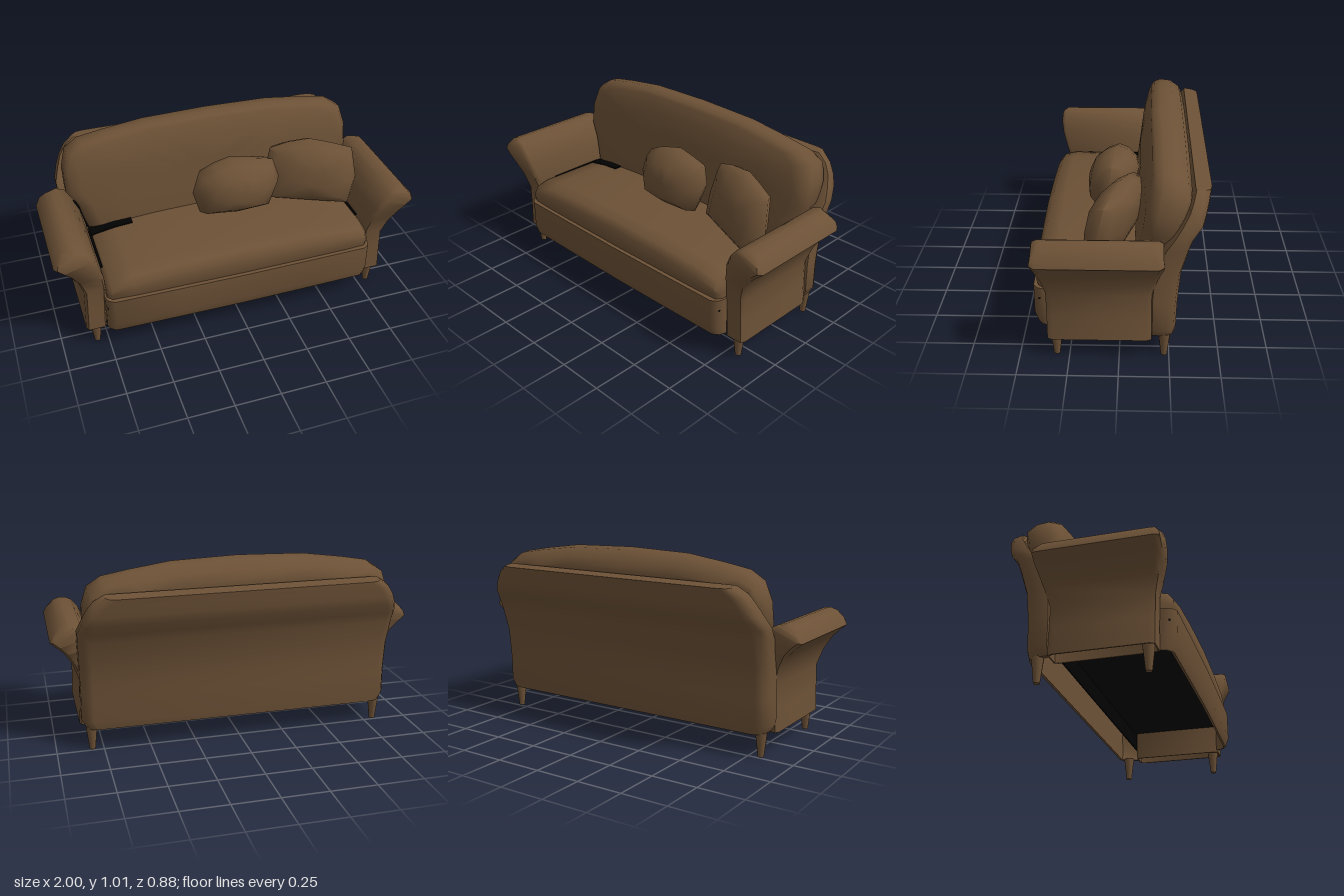
import * as THREE from 'three';
import { toCreasedNormals } from 'three/addons/utils/BufferGeometryUtils.js';

const lerp = THREE.MathUtils.lerp;
const ramp = (v, a, b) => THREE.MathUtils.clamp((v - a) / (b - a), 0, 1);

// Skin a closed solid over rings of [x, y, z]; a and b are the axes the end caps are flat in
function loft(rings, a, b, crease = 0.85) {
  const n = rings[0].length, idx = [];
  for (let r = 0; r < rings.length - 1; r++) {
    for (let i = 0; i < n; i++) {
      const p = r * n + i, q = r * n + (i + 1) % n;
      idx.push(p, q, q + n, p, q + n, p + n);
    }
  }
  [0, rings.length - 1].forEach((r, end) => {
    const flat = rings[r].map(p => new THREE.Vector2(p[a], p[b]));
    const sign = Math.sign(THREE.ShapeUtils.area(flat)) * (end ? 1 : -1);
    for (const [i, j, k] of THREE.ShapeUtils.triangulateShape(flat, [])) {
      const turn = THREE.ShapeUtils.area([flat[i], flat[j], flat[k]]);
      const t = turn * sign > 0 ? [i, j, k] : [i, k, j];
      idx.push(...t.map(v => v + r * n));
    }
  });
  // Turn the faces outward
  const pts = rings.flat().map(p => new THREE.Vector3(...p));
  let volume = 0;
  for (let i = 0; i < idx.length; i += 3) {
    volume += pts[idx[i]].dot(pts[idx[i + 1]].clone().cross(pts[idx[i + 2]]));
  }
  if (volume < 0) idx.reverse();
  const g = new THREE.BufferGeometry().setFromPoints(pts);
  g.setIndex(idx);
  return toCreasedNormals(g, crease);
}

export function createModel() {
  const sofa = new THREE.Group();
  sofa.name = 'sofa';
  const brown = new THREE.MeshStandardMaterial({ color: 0x6c5136 });
  brown.name = 'brown upholstery';
  const black = new THREE.MeshStandardMaterial({ color: 0x020202 });
  black.name = 'black lining';
  const add = (name, geometry, material = brown, x = 0, y = 0, z = 0) => {
    const m = new THREE.Mesh(geometry, material);
    m.name = name;
    m.position.set(x, y, z);
    sofa.add(m);
  };

  // Front base panel, a thin shell with softened ends
  const baseStations = [[-0.755, 0.06], [-0.745, 0.03], [-0.715, 0.008], [-0.35, 0.003], [0, 0], [0.35, 0.003], [0.715, 0.008], [0.745, 0.03], [0.755, 0.06]];
  add('frontBase', loft(baseStations.map(([x, d]) =>
    [[0.408, 0.125], [0.42, 0.125], [0.44, 0.18], [0.44, 0.34], [0.34, 0.34], [0.34, 0.31], [0.41, 0.29]]
      .map(([z, y]) => [x, y, z - d])), 2, 1));

  // Seat cushion, crowned across its width
  const seatStations = [[0.745, 0.42, 0.04], [0.72, 0.45, 0.012], [0.6, 0.472, 0.006], [0.36, 0.49, 0.003], [0, 0.5, 0]];
  const seatAll = [...seatStations.map(([x, t, d]) => [-x, t, d]), ...seatStations.slice(0, -1).reverse()];
  add('seatCushion', loft(seatAll.map(([x, top, d]) =>
    [[-0.12, 0.33], [0.415, 0.33], [0.427, 0.37], [0.427, top - 0.05], [0.4, top - 0.015], [0.33, top], [-0.12, top - 0.005]]
      .map(([z, y]) => [x, y, z - (z > 0 ? d : 0)])), 2, 1, 1.05));

  // Back frame, raked rearward, rounded at the upper corners and hollow low down:
  // front y, z, rear y, z, half width, hollow depth
  const frameRows = [
    [0.125, -0.157, 0.125, -0.278, 0.835, 0.88], [0.17, -0.157, 0.17, -0.281, 0.86, 0.88], [0.34, -0.157, 0.3, -0.285, 0.858, 0.88],
    [0.4, -0.16, 0.39, -0.292, 0.859, 0], [0.48, -0.175, 0.48, -0.3, 0.86, 0], [0.62, -0.215, 0.62, -0.34, 0.865, 0],
    [0.68, -0.255, 0.67, -0.357, 0.867, 0], [0.74, -0.295, 0.73, -0.402, 0.845, 0], [0.8, -0.328, 0.78, -0.416, 0.82, 0],
    [0.85, -0.347, 0.83, -0.428, 0.785, 0], [0.885, -0.36, 0.875, -0.44, 0.73, 0]];
  add('backFrame', loft(frameRows.map(([fy, fz, ry, rz, w, hollow]) => {
    const side = [[0.05, hollow], [0.015, 0], [0, 0.05], [0, 0.6], [0.022, 0.9], [0.06, 1]];
    return [...side.map(([inset, t]) => [-1, inset, t]), ...side.map(([inset, t]) => [1, inset, t]).reverse()]
      .map(([s, inset, t]) => [s * (w - inset), lerp(fy, ry, t), lerp(fz, rz, t)]);
  }), 0, 2));

  // Back cushion with an arched top and a bowed face
  const half = [[0.36, 1], [0.58, 0.97], [0.725, 0.945], [0.8, 0.895], [0.83, 0.79], [0.83, 0.67], [0.775, 0.58], [0.72, 0.4]];
  const outline = [[0, 1.01], ...half, ...half.map(([x, y]) => [-x, y]).reverse()];
  const cushionRings = [[0.3, 0.3, 0], [0.65, 0.65, 0], [0.9, 0.92, 0], [0.975, 0.97, 0.06], [1, 1, 0.26],
    [1, 0.97, 0.6], [0.985, 0.83, 0.9], [0.95, 0.68, 1]];
  add('backCushion', loft(cushionRings.map(([sx, sy, t]) => outline.map(([ox, oy]) => {
    const x = ox * sx, y = 0.7 + (oy - 0.7) * sy;
    const front = -0.055 - 0.045 * ramp(y, 0.45, 0.83) - 0.05 * ramp(y, 0.83, 0.98) - 0.035 * (x / 0.8) ** 2;
    const rear = lerp(-0.2, -0.345, ramp(y, 0.45, 0.85));
    return [x, y, lerp(front, rear, t)];
  })), 0, 1, 1));

  // Rolled arms, open underneath, flaring outward and lengthening toward the top:
  // inner x, y, outer x, y, front z, back z
  const armRows = [
    [0.762, 0.3, 0.853, 0.3, 0.349, -0.153], [0.762, 0.115, 0.859, 0.115, 0.349, -0.153],
    [0.755, 0.115, 0.866, 0.115, 0.356, -0.16], [0.75, 0.25, 0.86, 0.25, 0.356, -0.16],
    [0.742, 0.4, 0.856, 0.37, 0.358, -0.162], [0.75, 0.47, 0.885, 0.46, 0.38, -0.183],
    [0.772, 0.56, 0.925, 0.53, 0.405, -0.205], [0.8, 0.62, 0.965, 0.57, 0.414, -0.214],
    [0.835, 0.665, 0.998, 0.598, 0.414, -0.215], [0.865, 0.68, 0.985, 0.628, 0.408, -0.21],
    [0.9, 0.688, 0.945, 0.674, 0.38, -0.18]];
  for (const side of [1, -1]) {
    const sideName = side > 0 ? 'left' : 'right';
    add(sideName + 'Arm', loft(armRows.map(([ix, iy, ox, oy, f, b]) => [
      [0.1, f], [0.9, f], [1, f - 0.025], [1, b + 0.025], [0.9, b], [0.1, b], [0, b + 0.02], [0, f - 0.02]]
      .map(([t, z]) => [side * lerp(ix, ox, t), lerp(iy, oy, t), z])), 0, 2, 1));

    // Dark gap between arm and back cushion
    const gap = [[0.71, 0.43], [0.735, 0.53], [0.765, 0.6], [0.8, 0.625], [0.775, 0.53], [0.75, 0.43]];
    add(sideName + 'GapLining', loft([-0.14, -0.133].map(z => gap.map(([x, y]) => [side * x, y, z])), 0, 1), black);

    // Dark seams along the rear corner and the edge of the seat
    const end = side > 0 ? 0.64 : 0.5;
    const seam = [[0.738, 0.437], [0.72, 0.452], [0.6, 0.474], [0.5, 0.483]].filter(([x]) => x >= end);
    add(sideName + 'SeamLining', loft([-0.12, -0.03].map(z => [
      ...seam.map(([x, y]) => [side * x, y, z]),
      ...seam.map(([x, y]) => [side * x, y - 0.007, z]).reverse()]), 0, 1), black);
    add(sideName + 'EdgeLining', new THREE.BoxGeometry(0.012, 0.008, 0.33), black, side * 0.738, 0.436, 0.08);

    // Tapered legs
    for (const [name, z] of [['FrontLeg', 0.315], ['BackLeg', -0.225]]) {
      add(sideName + name, new THREE.CylinderGeometry(0.031, 0.016, 0.13, 12), brown, side * 0.81, 0.065, z);
    }
  }

  // Dark underside of the seat and dark panel inside the back frame
  add('undersideLining', new THREE.BoxGeometry(1.5, 0.008, 0.58), black, 0, 0.28, 0.115);
  add('backLining', new THREE.BoxGeometry(1.6, 0.2, 0.008), black, 0, 0.28, -0.17);

  // Scatter pillows: outline rings pulled in toward the middle as they bulge
  const pillowRings = [[0.25, -1], [0.6, -0.84], [0.88, -0.42], [1, 0], [0.88, 0.42], [0.6, 0.84], [0.25, 1]];
  const pillow = (name, edge, cx, cy, cz, yaw, lean, thick) =>
    add(name, loft(pillowRings.map(([s, t]) => edge.map(([ex, ey]) => {
      const dx = (ex - cx) * s, dy = (ey - cy) * s;
      return [cx + dx, cy + dy, cz + yaw * dx + lean * dy + t * thick];
    })), 0, 1, 1.2));
  pillow('middlePillow', [[-0.13, 0.75], [-0.04, 0.795], [0.06, 0.825], [0.18, 0.81], [0.29, 0.79], [0.325, 0.68],
    [0.27, 0.53], [0.07, 0.505], [-0.13, 0.515], [-0.165, 0.64]], 0.08, 0.66, 0.047, 0.1, -0.1, 0.13);
  pillow('sidePillow', [[0.32, 0.785], [0.42, 0.82], [0.535, 0.84], [0.65, 0.815], [0.76, 0.785], [0.782, 0.61],
    [0.74, 0.45], [0.5, 0.47], [0.27, 0.49], [0.28, 0.63]], 0.54, 0.65, 0.03, 0.32, -0.18, 0.11);

  return sofa;
}
